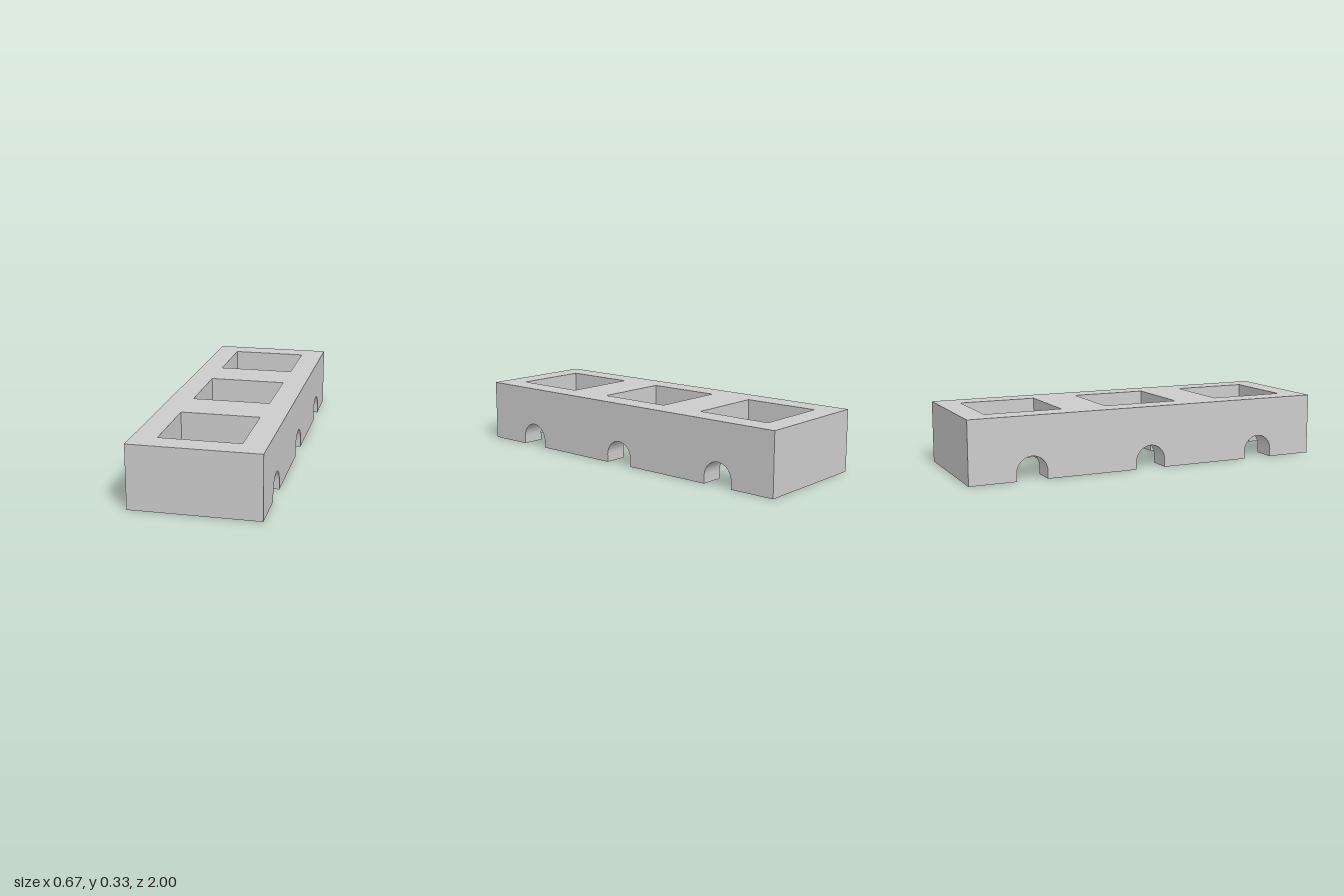
import * as THREE from 'three';
import { toCreasedNormals } from 'three/addons/utils/BufferGeometryUtils.js';

const HEIGHT = 1 / 3, HALF_W = 1 / 3, HALF_L = 1;
const WALL = 0.125;               // outer wall thickness
const WELL = HALF_W - WALL;       // half size of a square well
const PITCH = 2 / 3;              // spacing of the wells
const R = 1 / 12, SPRING = 1 / 24; // arch radius and height of its straight jambs

// Outline of one arched opening, drawn up, over and down again
function traceArch(shape, c) {
  shape.lineTo(c - R, 0);
  shape.lineTo(c - R, SPRING);
  shape.absarc(c, SPRING, R, Math.PI, 0, true);
  shape.lineTo(c + R, 0);
}

// Upright wall with arches cut into its foot, centred on its thickness
function archedWall(halfLength, thickness, centres) {
  const shape = new THREE.Shape();
  shape.moveTo(-halfLength, 0);
  centres.forEach((c) => traceArch(shape, c));
  shape.lineTo(halfLength, 0);
  shape.lineTo(halfLength, HEIGHT);
  shape.lineTo(-halfLength, HEIGHT);
  shape.closePath();
  const geo = new THREE.ExtrudeGeometry(shape, { depth: thickness, bevelEnabled: false, curveSegments: 24 });
  geo.translate(0, 0, -thickness / 2);
  return toCreasedNormals(geo, 0.5);
}

export function createModel() {
  const group = new THREE.Group();
  const material = new THREE.MeshStandardMaterial({ color: 0xcccccc });
  const thin = new THREE.MeshStandardMaterial({ color: 0xcccccc, side: THREE.DoubleSide });

  const add = (name, geo, x, z, mat = material) => {
    const mesh = new THREE.Mesh(geo, mat);
    mesh.name = name;
    mesh.position.set(x, 0, z);
    group.add(mesh);
  };

  // Long side walls, each with three arches
  const side = archedWall(HALF_L, WALL, [-PITCH, 0, PITCH]).rotateY(-Math.PI / 2);
  // Cross walls between the wells and at the ends, each with one arch
  const divider = archedWall(WELL, PITCH - 2 * WELL, [0]);
  const end = archedWall(WELL, WALL, [0]);

  // Thin skin closing the channel at each end face
  const skinShape = new THREE.Shape();
  skinShape.moveTo(-R, 0);
  traceArch(skinShape, 0);
  skinShape.closePath();
  const skin = new THREE.ShapeGeometry(skinShape, 24);

  for (const s of [-1, 1]) {
    add(s > 0 ? 'leftSideWall' : 'rightSideWall', side, s * (HALF_W - WALL / 2), 0);
    add(s > 0 ? 'frontDivider' : 'backDivider', divider, 0, s * PITCH / 2);
    add(s > 0 ? 'frontEndWall' : 'backEndWall', end, 0, s * (HALF_L - WALL / 2));
    add(s > 0 ? 'frontChannelCover' : 'backChannelCover', skin, 0, s * HALF_L, thin);
  }
  return group;
}
